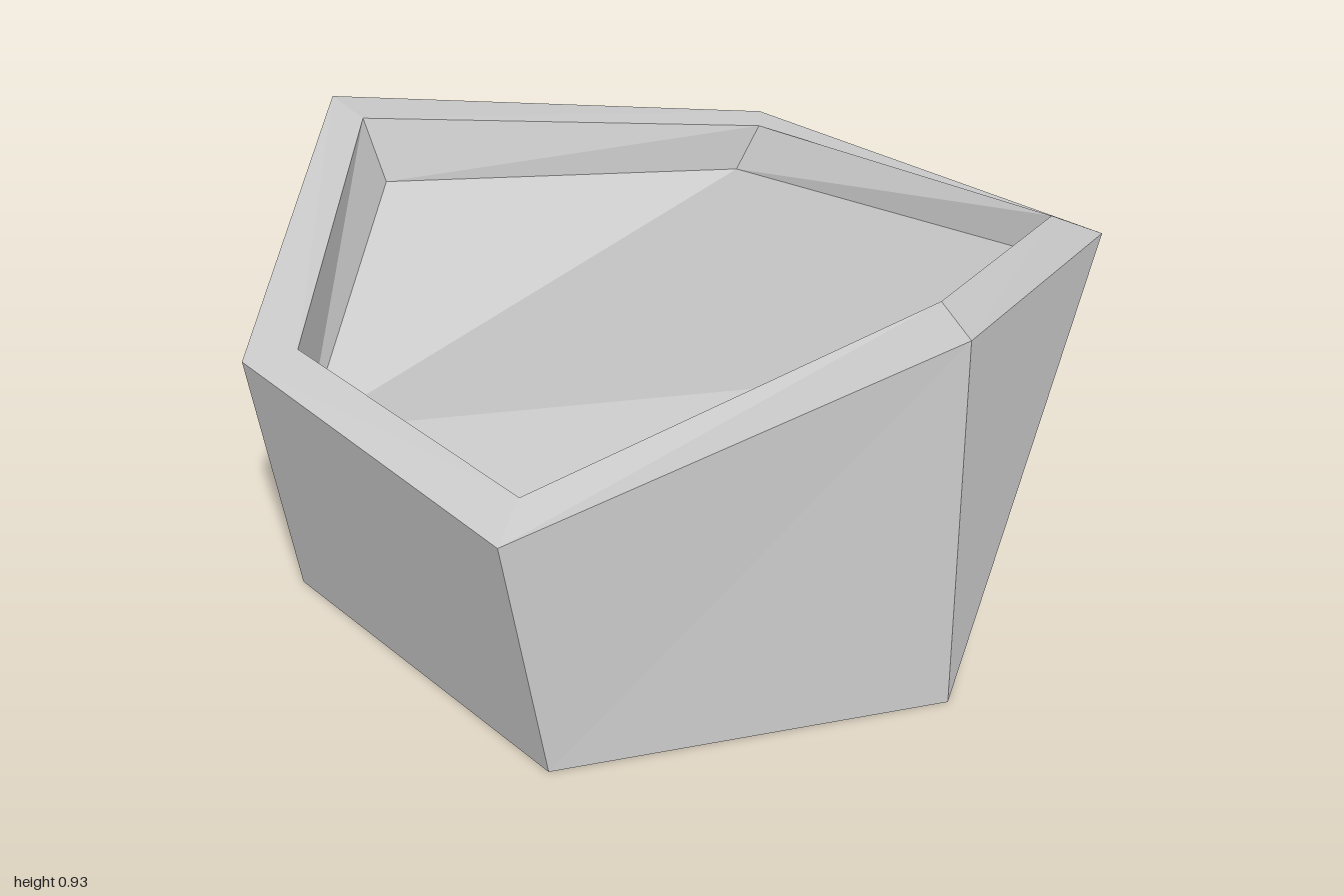
import * as THREE from 'three';

// Hexagonal rings, counterclockwise seen from above, starting at the front -x corner
const base = Array.from({ length: 6 }, (_, i) => {
  const a = (Math.PI / 3) * (2 - i);
  return [-0.05 + 0.88 * Math.cos(a), 0, 0.05 + 0.88 * Math.sin(a)];
});
const outerRim = [
  [-0.57, 0.61, 0.83], [0.37, 0.92, 0.81], [1.0, 0.69, 0.08],
  [0.4, 0.7, -0.75], [-0.7, 0.83, -0.83], [-1.0, 0.65, 0.1],
];
const innerRim = [
  [-0.51, 0.655, 0.74], [0.36, 0.93, 0.67], [0.89, 0.725, 0.03],
  [0.37, 0.705, -0.655], [-0.64, 0.83, -0.68], [-0.88, 0.67, 0.11],
];
const basin = [
  [-0.5, 0.48, 0.72], [0.36, 0.765, 0.67], [0.885, 0.62, 0.03],
  [0.31, 0.59, -0.65], [-0.6, 0.67, -0.64], [-0.88, 0.46, 0.11],
];

// Two triangles per side between two rings
function band(a, b) {
  return a.flatMap((p, i) => {
    const j = (i + 1) % a.length;
    return [p, a[j], b[j], p, b[j], b[i]];
  });
}

function facetMesh(name, corners, material) {
  const geometry = new THREE.BufferGeometry();
  geometry.setAttribute('position', new THREE.Float32BufferAttribute(corners.flat(), 3));
  geometry.computeVertexNormals();
  const mesh = new THREE.Mesh(geometry, material);
  mesh.name = name;
  return mesh;
}

export function createModel() {
  const stone = new THREE.MeshStandardMaterial({ color: 0xcccccc });
  stone.name = 'grey stone';
  const pick = (ring, order) => order.map((i) => ring[i]);

  const group = new THREE.Group();
  group.name = 'hexagonalBasin';
  group.add(
    facetMesh('outerWall', band(base, outerRim), stone),
    facetMesh('rim', band(outerRim, innerRim), stone),
    facetMesh('innerWall', band(innerRim, basin), stone),
    // Uneven sunken floor
    facetMesh('sunkenFloor', pick(basin, [5, 0, 1, 5, 1, 3, 1, 2, 3, 3, 4, 5]), stone),
    // Flat underside
    facetMesh('underside', pick(base, [0, 2, 1, 0, 3, 2, 0, 4, 3, 0, 5, 4]), stone),
  );
  return group;
}
